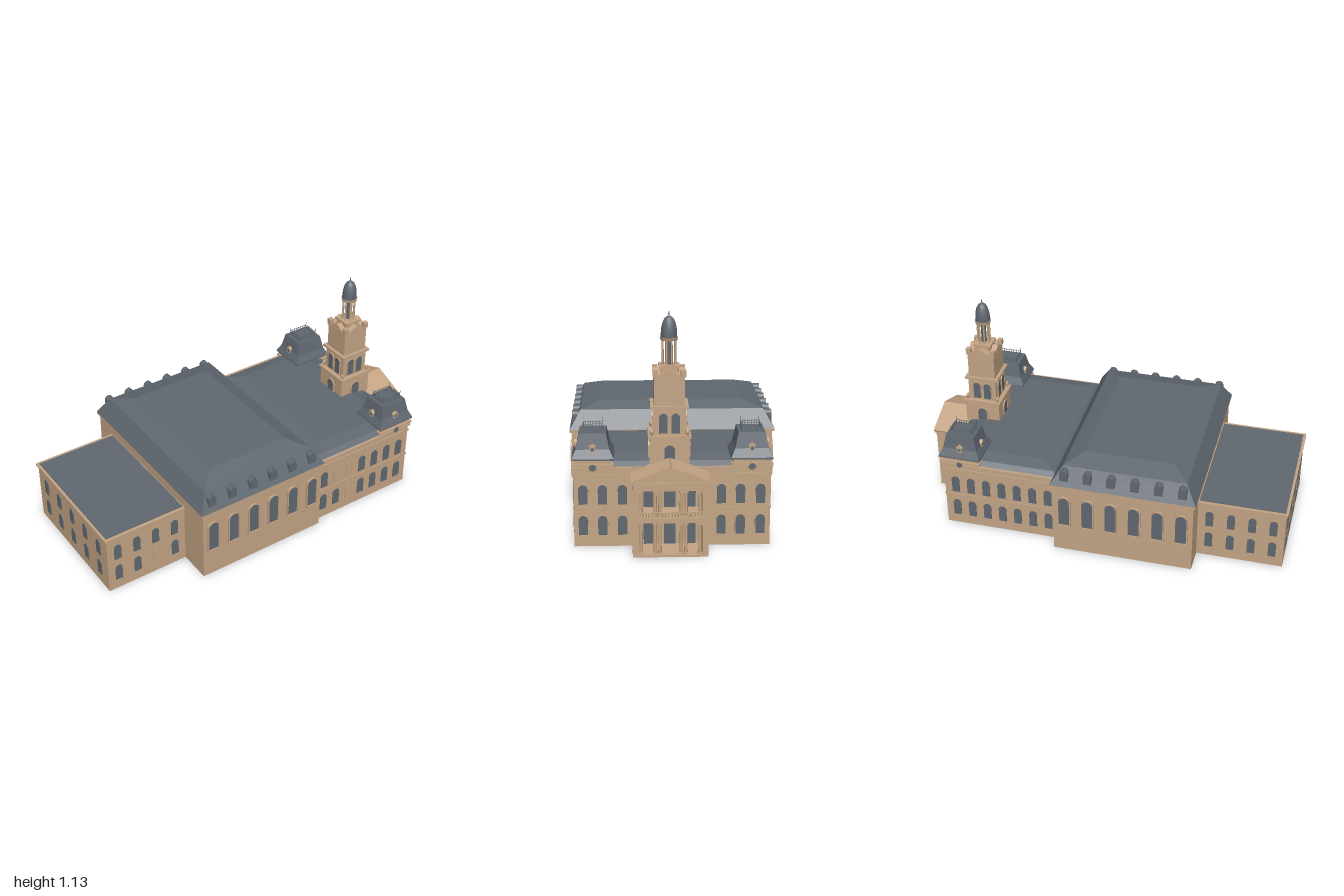
import * as THREE from 'three';

const stone = new THREE.MeshStandardMaterial({ color: 0xc4a585, side: THREE.DoubleSide });
stone.name = 'sandstone';
const slate = new THREE.MeshStandardMaterial({ color: 0x606870 });
slate.name = 'slate';

const AXIS = 0.032; // z of tower and portico
const TX = 0.738;   // x of tower

export function createModel() {
  const root = new THREE.Group();
  root.name = 'townHall';

  function add(name, geo, mat, x = 0, y = 0, z = 0, ry = 0) {
    const m = new THREE.Mesh(geo, mat);
    m.name = name;
    m.position.set(x, y, z);
    m.rotation.y = ry;
    root.add(m);
    return m;
  }
  // box given by its limits
  function box(name, x0, x1, y0, y1, z0, z1, mat = stone) {
    return add(name, new THREE.BoxGeometry(x1 - x0, y1 - y0, z1 - z0), mat, (x0 + x1) / 2, (y0 + y1) / 2, (z0 + z1) / 2);
  }
  // hollow block without a floor
  function shell(name, x0, x1, h, z0, z1) {
    const m = box(name, x0, x1, 0, h, z0, z1);
    const idx = Array.from(m.geometry.index.array);
    idx.splice(18, 6);
    m.geometry.setIndex(idx);
    m.geometry.clearGroups();
  }
  // square block centred on the tower axis
  function stage(name, w, y0, y1, mat = stone) {
    return box(name, TX - w / 2, TX + w / 2, y0, y1, AXIS - w / 2, AXIS + w / 2, mat);
  }
  // stacked rectangular levels [x0, x1, z0, z1, y] joined into a roof
  function roof(name, levels, mat = slate) {
    const rings = levels.map(([x0, x1, z0, z1, y]) => [[x0, y, z1], [x1, y, z1], [x1, y, z0], [x0, y, z0]]);
    const pos = [];
    const quad = (a, b, c, d) => pos.push(...a, ...b, ...c, ...a, ...c, ...d);
    for (let k = 0; k + 1 < rings.length; k++) {
      for (let i = 0; i < 4; i++) {
        const j = (i + 1) % 4;
        quad(rings[k][i], rings[k][j], rings[k + 1][j], rings[k + 1][i]);
      }
    }
    quad(...rings[rings.length - 1]);
    const g = new THREE.BufferGeometry();
    g.setAttribute('position', new THREE.Float32BufferAttribute(pos, 3));
    g.computeVertexNormals();
    return add(name, g, mat);
  }
  function archPath(s, w, h, y0 = 0) {
    s.moveTo(-w / 2, y0);
    s.lineTo(w / 2, y0);
    s.lineTo(w / 2, h - w / 2);
    s.absarc(0, h - w / 2, w / 2, 0, Math.PI, false);
    s.lineTo(-w / 2, y0);
    return s;
  }
  const extrude = (s, depth) => new THREE.ExtrudeGeometry(s, { depth, bevelEnabled: false, curveSegments: 8 });
  const arch = (w, h, depth = 0.004) => extrude(archPath(new THREE.Shape(), w, h), depth);
  function archFrame(w, h, t, depth) {
    const s = archPath(new THREE.Shape(), w + 2 * t, h + t, -t);
    s.holes.push(archPath(new THREE.Path(), w, h));
    return extrude(s, depth);
  }
  function gable(w, h, depth) {
    return extrude(new THREE.Shape([new THREE.Vector2(-w / 2, 0), new THREE.Vector2(w / 2, 0), new THREE.Vector2(0, h)]), depth);
  }
  const FRONT = 0, BACK = Math.PI, EAST = Math.PI / 2, WEST = -Math.PI / 2;
  // moulding running around a block
  const band = (name, x0, x1, z0, z1, y0, y1, o) => box(name, x0 - o, x1 + o, y0, y1, z0 - o, z1 + o);

  // rear wing
  shell('rearWing', -0.99, -0.53, 0.33, -0.39, 0.345);
  band('rearCornice', -0.99, -0.54, -0.39, 0.345, 0.33, 0.342, 0.009);
  box('rearRoof', -0.985, -0.54, 0.342, 0.346, -0.382, 0.336, slate);
  [-0.93, -0.82, -0.71, -0.597].forEach((x, i) => [0.06, 0.195].forEach((y, row) => {
    add('rearWindow', arch(0.04, 0.09), i === 2 && row === 0 ? stone : slate, x, y, 0.345, FRONT);
    add('rearWindow', arch(0.04, 0.09), slate, x, y, -0.39, BACK);
  }));
  for (let i = 0; i < 5; i++) {
    for (const y of [0.06, 0.195]) add('rearEndWindow', arch(0.04, 0.09), slate, -0.99, y, -0.0225 + (i - 2) * 0.14, WEST);
  }

  // great hall
  shell('greatHall', -0.535, 0.205, 0.405, -0.527, 0.522);
  band('hallCornice', -0.535, 0.205, -0.527, 0.522, 0.402, 0.416, 0.012);
  roof('hallRoof', [
    [-0.547, 0.217, -0.539, 0.534, 0.416],
    [-0.49, 0.157, -0.482, 0.477, 0.512],
    [-0.4, 0.07, -0.375, 0.37, 0.544],
  ]);
  for (let i = 0; i < 6; i++) {
    const x = -0.475 + i * 0.1238;
    for (const [z, r, zd] of [[0.522, FRONT, 0.46], [-0.527, BACK, -0.465]]) {
      add('hallWindow', arch(0.058, 0.175), slate, x, 0.165, z, r);
      add('hallWindowSurround', archFrame(0.058, 0.175, 0.006, 0.01), stone, x, 0.165, z, r);
      add('hallDormer', arch(0.044, 0.062, 0.062), slate, x, 0.443, zd, r);
    }
  }

  // entrance wing
  const W = [0.2, 0.828, -0.45, 0.489];
  shell('entranceWing', W[0], W[1], 0.39, W[2], W[3]);
  band('stringCourse', ...W, 0.183, 0.194, 0.004);
  band('entablature', ...W, 0.345, 0.36, 0.005);
  band('wingCornice', ...W, 0.384, 0.395, 0.009);
  roof('wingRoof', [
    [0.205, 0.826, -0.445, 0.484, 0.395],
    [0.23, 0.8, -0.42, 0.459, 0.416],
    [0.3, 0.72, -0.35, 0.39, 0.432],
  ]);
  for (let i = 0; i < 7; i++) {
    const x = 0.256 + i * 0.0853;
    for (const [row, y] of [[0, 0.057], [1, 0.21]]) {
      const blank = i === 2 || (i === 1 && row === 1);
      add('wingWindow', arch(0.042, 0.097), blank ? stone : slate, x, y, W[3], FRONT);
      add('wingWindow', arch(0.042, 0.097), slate, x, y, W[2], BACK);
    }
  }
  for (const z of [0.445, 0.352, 0.257, -0.215, -0.307, -0.403]) {
    for (const y of [0.057, 0.21]) {
      add('facadeWindow', arch(0.044, 0.097), slate, W[1], y, z, EAST);
      add('facadeWindowSurround', archFrame(0.044, 0.097, 0.004, 0.006), stone, W[1], y, z, EAST);
    }
  }

  // corner pavilions with crested mansards
  for (const [cz, out] of [[0.397, 1], [-0.36, -1]]) {
    const cx = 0.734;
    const ring = (hx, hz, y) => [cx - hx, cx + hx, cz - hz, cz + hz, y];
    box('pavilionAttic', cx - 0.1, cx + 0.1, 0.39, 0.435, cz - 0.09, cz + 0.09);
    box('pavilionCornice', cx - 0.11, cx + 0.11, 0.4, 0.412, cz - 0.1, cz + 0.1);
    roof('pavilionRoof', [ring(0.112, 0.1, 0.43), ring(0.112, 0.1, 0.438), ring(0.092, 0.08, 0.48), ring(0.076, 0.064, 0.555)]);
    box('crestBase', cx - 0.06, cx + 0.06, 0.555, 0.559, cz - 0.048, cz + 0.048, slate);
    // dormers and round windows
    const sides = [[cx, cz + out * 0.07, out > 0 ? FRONT : BACK, 0.02], [cx + 0.082, cz, EAST, 0.02], [cx - 0.082, cz, WEST, 0.02]];
    for (const [x, z, r] of sides) {
      add('pavilionDormer', new THREE.BoxGeometry(0.026, 0.03, 0.034), stone, x, 0.48, z, r);
      const g = gable(0.038, 0.014, 0.036);
      g.translate(0, 0, -0.016);
      add('dormerGable', g, stone, x, 0.495, z, r);
      const glass = new THREE.CircleGeometry(0.009, 10);
      glass.translate(0, 0, 0.0178);
      add('dormerWindow', glass, slate, x, 0.481, z, r);
    }
    for (const [x, z, r] of [[cx, cz + out * 0.1, sides[0][2]], [cx + 0.11, cz, EAST]]) {
      const disc = new THREE.CylinderGeometry(0.016, 0.016, 0.006, 14).rotateX(Math.PI / 2);
      add('roundWindow', disc, slate, x, 0.396, z, r);
      add('roundWindowRim', new THREE.TorusGeometry(0.017, 0.003, 5, 14), stone, x, 0.396, z, r);
    }
    // iron cresting
    for (const s of [-1, 1]) {
      for (const y of [0.566, 0.579]) {
        box('crestRail', cx - 0.056, cx + 0.056, y, y + 0.002, cz + s * 0.045 - 0.001, cz + s * 0.045 + 0.001, slate);
        box('crestRail', cx + s * 0.056 - 0.001, cx + s * 0.056 + 0.001, y, y + 0.002, cz - 0.045, cz + 0.045, slate);
      }
      for (let i = 0; i <= 8; i++) {
        const h = i % 8 ? 0.028 : 0.044;
        const t = (i - 4) / 4;
        const bar = new THREE.BoxGeometry(0.002, h, 0.002);
        add('crestBar', bar, slate, cx + t * 0.056, 0.557 + h / 2, cz + s * 0.045);
        if (i % 8) add('crestBar', bar, slate, cx + s * 0.056, 0.557 + h / 2, cz + t * 0.045);
      }
    }
  }

  // two-storey portico
  const P0 = AXIS - 0.178, P1 = AXIS + 0.178;
  box('porticoWall', 0.82, 0.986, 0, 0.345, P0, P0 + 0.03);
  box('porticoWall', 0.82, 0.986, 0, 0.345, P1 - 0.03, P1);
  box('porticoFloor', 0.82, 0.99, 0, 0.01, P0, P1);
  box('balconyFloor', 0.82, 0.986, 0.165, 0.192, P0 + 0.01, P1 - 0.01);
  box('balconyMoulding', 0.975, 0.992, 0.183, 0.192, P0, P1);
  box('porticoEntablature', 0.82, 0.988, 0.322, 0.352, P0, P1);
  box('porticoCornice', 0.82, 0.998, 0.352, 0.364, P0 - 0.004, P1 + 0.004);
  add('pediment', gable(0.352, 0.066, 0.168), stone, 0.82, 0.362, AXIS, EAST);
  for (const s of [-1, 1]) {
    const slope = add('pedimentSlope', new THREE.BoxGeometry(0.18, 0.01, 0.196), stone, 0.91, 0.4, AXIS + s * 0.092);
    slope.rotation.x = s * 0.37;
  }
  for (const dz of [0.102, 0, -0.102]) {
    const w = dz ? 0.045 : 0.056;
    add('entranceDoor', arch(w, 0.13), slate, 0.828, 0.01, AXIS + dz, EAST);
    add('balconyDoor', arch(w, 0.115), slate, 0.828, 0.195, AXIS + dz, EAST);
  }
  for (const dz of [0.138, 0.072, 0.05, -0.05, -0.072, -0.138]) {
    for (const [y0, y1] of [[0.01, 0.165], [0.192, 0.322]]) {
      add('porticoColumn', new THREE.CylinderGeometry(0.007, 0.0085, y1 - y0, 10), stone, 0.972, (y0 + y1) / 2, AXIS + dz);
      for (const y of [y0 + 0.005, y1 - 0.005]) add('columnBlock', new THREE.BoxGeometry(0.021, 0.01, 0.021), stone, 0.972, y, AXIS + dz);
    }
  }
  box('balustradeRail', 0.972, 0.982, 0.212, 0.218, P0 + 0.03, P1 - 0.03);
  for (let i = 0; i < 22; i++) {
    add('baluster', new THREE.CylinderGeometry(0.003, 0.004, 0.022, 6), stone, 0.977, 0.202, AXIS - 0.142 + i * 0.01352);
  }

  // clock tower stages
  stage('towerBase', 0.19, 0.36, 0.535);
  stage('towerBaseCornice', 0.206, 0.533, 0.546);
  stage('belfry', 0.155, 0.546, 0.675);
  stage('belfryCornice', 0.182, 0.673, 0.686);
  stage('clockStage', 0.147, 0.686, 0.828);
  stage('clockCornice', 0.156, 0.822, 0.83);
  for (let k = 0; k < 4; k++) {
    const r = k * Math.PI / 2, c = Math.cos(r), s = Math.sin(r);
    // place at sideways offset u and outward distance d on face k
    const at = (name, geo, mat, u, y, d) => add(name, geo, mat, TX + u * c + d * s, y, AXIS - u * s + d * c, r);
    at('towerWindow', arch(0.05, 0.085), slate, 0, 0.415, 0.095);
    at('towerWindowSurround', archFrame(0.05, 0.085, 0.006, 0.006), stone, 0, 0.415, 0.095);
    for (const u of [-0.029, 0.029]) {
      at('belfryOpening', arch(0.04, 0.098), slate, u, 0.553, 0.0775);
      at('belfrySurround', archFrame(0.04, 0.098, 0.004, 0.006), stone, u, 0.553, 0.0775);
    }
    at('towerGable', gable(0.12, 0.032, 0.03), stone, 0, 0.826, 0.047);
    // corner urns and parapet blocks
    at('cornerUrn', new THREE.LatheGeometry([[0.004, 0], [0.01, 0.012], [0.008, 0.024], [0.001, 0.034]].map(p => new THREE.Vector2(...p)), 8), stone, 0.085, 0.546, 0.085);
    at('parapetBlock', new THREE.BoxGeometry(0.026, 0.03, 0.026), stone, 0.066, 0.841, 0.066);
  }

  // lantern and dome
  stage('lanternBase', 0.085, 0.828, 0.862);
  stage('lanternPlinth', 0.1, 0.86, 0.872);
  add('lanternCore', new THREE.CylinderGeometry(0.014, 0.014, 0.12, 12), slate, TX, 0.931, AXIS);
  for (let i = 0; i < 8; i++) {
    const a = (i + 0.5) * Math.PI / 4;
    add('lanternColumn', new THREE.CylinderGeometry(0.0045, 0.005, 0.12, 8), stone, TX + 0.032 * Math.cos(a), 0.931, AXIS + 0.032 * Math.sin(a));
  }
  add('lanternCornice', new THREE.CylinderGeometry(0.044, 0.04, 0.014, 20), stone, TX, 0.995, AXIS);
  const dome = [[0.039, 1.002], [0.0385, 1.025], [0.036, 1.05], [0.03, 1.075], [0.021, 1.092], [0.01, 1.101], [0.003, 1.104], [0.0035, 1.115], [0, 1.128]];
  add('dome', new THREE.LatheGeometry(dome.map(p => new THREE.Vector2(...p)), 20), slate, TX, 0, AXIS);

  return root;
}
